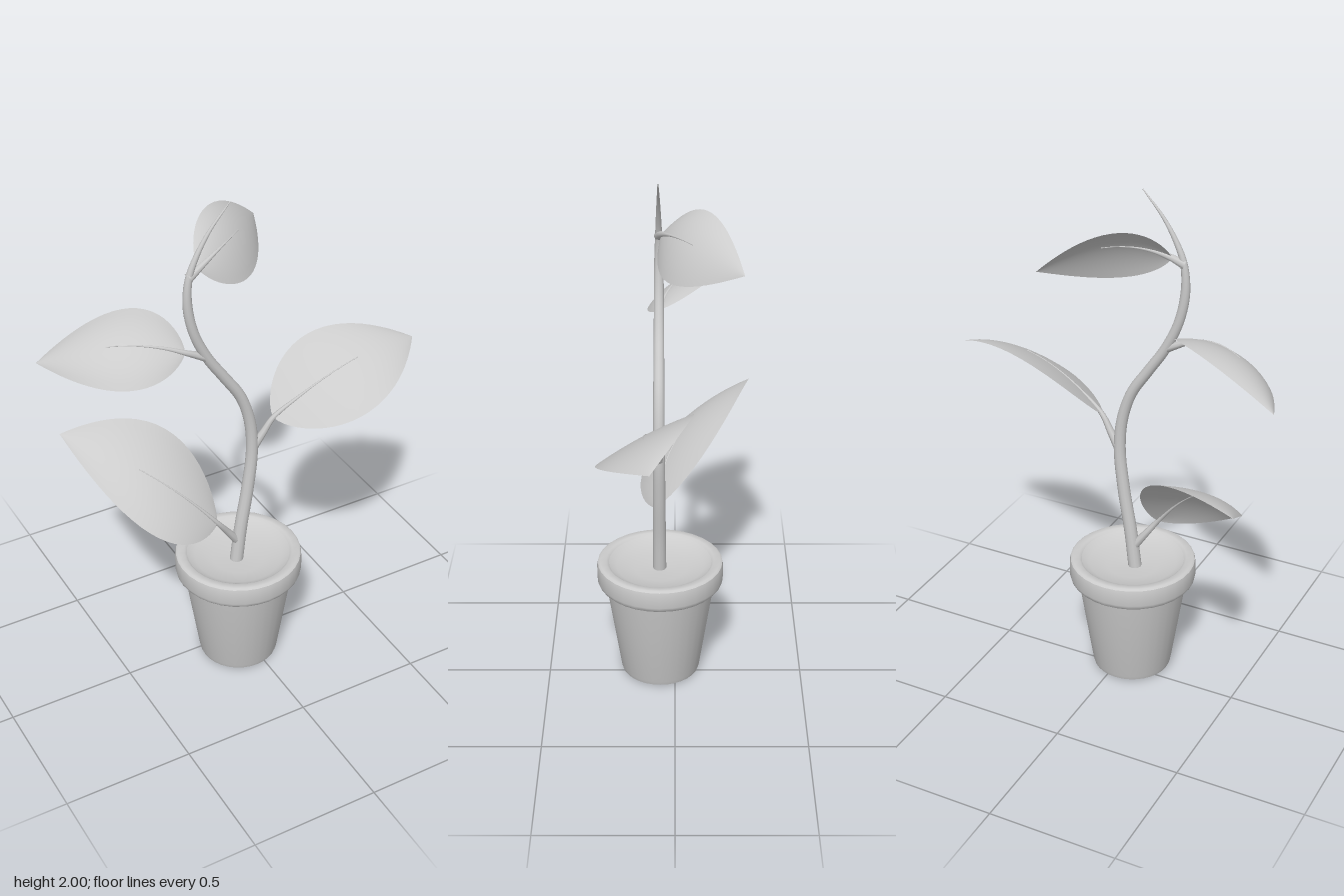
import * as THREE from 'three';
import { toCreasedNormals } from 'three/addons/utils/BufferGeometryUtils.js';

const POT_X = -0.04, POT_Z = 0.058;
const material = new THREE.MeshStandardMaterial({ color: 0xcccccc });
const leafMaterial = new THREE.MeshStandardMaterial({ color: 0xcccccc, side: THREE.DoubleSide });
const vec = (p) => new THREE.Vector3(...p);
const profile2 = (points) => points.map(([x, y]) => new THREE.Vector2(x, y));

function mesh(name, geometry, mat = material) {
  const m = new THREE.Mesh(geometry, mat);
  m.name = name;
  return m;
}

// Tube along a smooth path whose radius follows radiusAt(t)
function taperedTube(points, radiusAt, segments, sides) {
  const curve = new THREE.CatmullRomCurve3(points);
  const geometry = new THREE.TubeGeometry(curve, segments, 1, sides);
  const pos = geometry.attributes.position, p = new THREE.Vector3();
  for (let i = 0; i < pos.count; i++) {
    const t = Math.floor(i / (sides + 1)) / segments;
    const c = curve.getPointAt(t);
    p.fromBufferAttribute(pos, i).sub(c).multiplyScalar(radiusAt(t)).add(c);
    pos.setXYZ(i, p.x, p.y, p.z);
  }
  return geometry;
}

// Arched blade: a curved midrib, with edges passing through the back and front points
function bladeGeometry(midrib, mid, back, front) {
  const geometry = new THREE.PlaneGeometry(2, 1, 12, 28);
  const pos = geometry.attributes.position, uv = geometry.attributes.uv;
  const across = front.clone().sub(back).multiplyScalar(0.5);
  const droop = front.clone().add(back).multiplyScalar(0.5).sub(mid);
  const outline = (t) => Math.pow(t, 0.75) * (1 - t);
  const peak = outline(0.43);
  for (let i = 0; i < pos.count; i++) {
    const s = pos.getX(i);
    const t = (1 - Math.cos(Math.PI * uv.getY(i))) / 2;
    const width = outline(t) / peak;
    const p = midrib.getPoint(t)
      .addScaledVector(across, s * width)
      .addScaledVector(droop, s * s * width);
    pos.setXYZ(i, p.x, p.y, p.z);
  }
  geometry.computeVertexNormals();
  return geometry;
}

function createLeaf({ name, root, base, mid, tip, back, front }) {
  const group = new THREE.Group();
  group.name = name;
  const [r, b, m, t] = [root, base, mid, tip].map(vec);
  const control = m.clone().multiplyScalar(2).addScaledVector(b, -0.5).addScaledVector(t, -0.5);
  const midrib = new THREE.QuadraticBezierCurve3(b, control, t);
  group.add(mesh('blade', bladeGeometry(midrib, m, vec(back), vec(front)), leafMaterial));

  // Leaf stalk, running on as the thin vein
  const path = [r, r.clone().lerp(b, 0.5), b, ...[0.15, 0.3, 0.45, 0.55].map((k) => midrib.getPoint(k))];
  const radius = (k) => 0.002 + 0.016 * Math.pow(1 - k, 2.2);
  group.add(mesh('stalkAndVein', taperedTube(path, radius, 28, 8)));
  return group;
}

function createPot() {
  const group = new THREE.Group();
  group.name = 'pot';
  const shell = profile2([
    [0, 0], [0.14, 0], [0.151, 0.006], [0.156, 0.022], [0.213, 0.4],
    [0.236, 0.4], [0.243, 0.408], [0.246, 0.42], [0.246, 0.472], [0.243, 0.486],
    [0.235, 0.492], [0.21, 0.492], [0.2, 0.484],
  ]);
  group.add(mesh('potShell', toCreasedNormals(new THREE.LatheGeometry(shell, 32), 0.7)));

  // Soil dips gently towards the stem
  const soil = profile2([[0.2, 0.484], [0.17, 0.468], [0.1, 0.454], [0, 0.45]]);
  group.add(mesh('soil', new THREE.LatheGeometry(soil, 32)));
  group.position.set(POT_X, 0, POT_Z);
  return group;
}

export function createModel() {
  const model = new THREE.Group();
  model.name = 'pottedPlant';
  model.add(createPot());

  // S-shaped stem tapering to a point
  const stem = [
    [-0.05, 0.44], [-0.03, 0.6], [0, 0.78], [0.018, 0.95], [0.008, 1.08], [-0.03, 1.2],
    [-0.1, 1.31], [-0.165, 1.41], [-0.218, 1.53], [-0.24, 1.65], [-0.232, 1.75],
    [-0.205, 1.82], [-0.15, 1.91], [-0.07, 2],
  ].map(([x, y]) => new THREE.Vector3(x, y, 0.06));
  const stemRadius = (t) => (t < 0.75 ? 0.026 - 0.011 * t : 0.0177 - 0.016 * (t - 0.75) / 0.25);
  model.add(mesh('stem', taperedTube(stem, stemRadius, 70, 12)));

  const leaves = [
    {
      name: 'lowerRightLeaf', root: [-0.045, 0.54, 0.06], base: [-0.14, 0.67, 0.075],
      mid: [-0.37, 0.91, -0.04], tip: [-0.6, 1.01, -0.3],
      back: [-0.25, 1, -0.2], front: [-0.46, 0.77, 0.075],
    },
    {
      name: 'middleLeftLeaf', root: [0.025, 0.96, 0.06], base: [0.1, 1.075, 0.075],
      mid: [0.41, 1.245, 0.11], tip: [0.7, 1.25, 0.085],
      back: [0.36, 1.305, -0.065], front: [0.42, 1.135, 0.28],
    },
    {
      name: 'upperRightLeaf', root: [-0.17, 1.415, 0.06], base: [-0.25, 1.455, 0.055],
      mid: [-0.48, 1.5, -0.04], tip: [-0.7, 1.4, -0.22],
      back: [-0.38, 1.55, -0.18], front: [-0.53, 1.385, 0.06],
    },
    {
      name: 'topLeaf', root: [-0.235, 1.75, 0.06], base: [-0.19, 1.77, 0.05],
      mid: [0.01, 1.81, -0.05], tip: [0.19, 1.755, -0.24],
      back: [-0.045, 1.9, -0.135], front: [0.055, 1.665, 0],
    },
  ];
  for (const leaf of leaves) model.add(createLeaf(leaf));
  return model;
}
